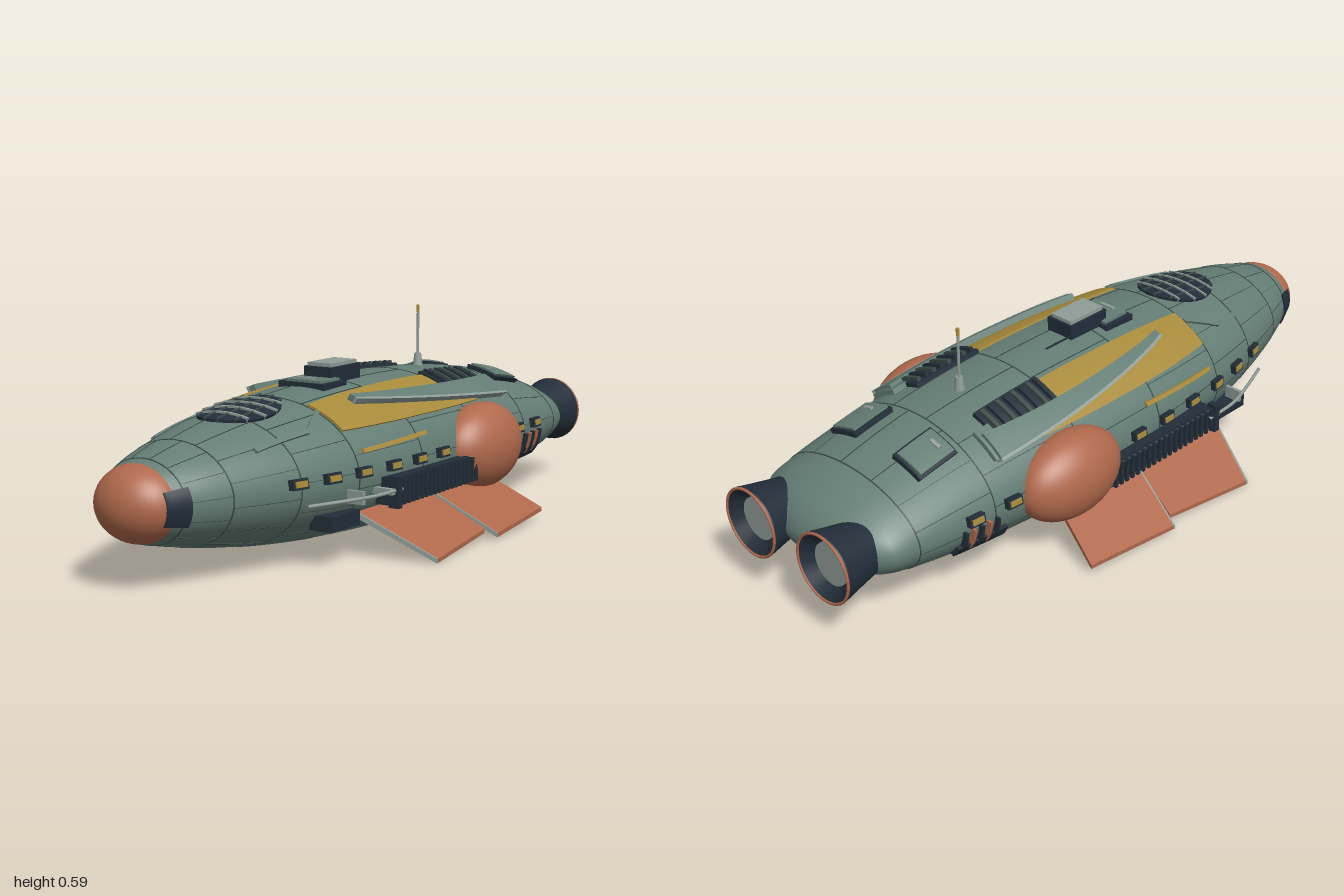
import * as THREE from 'three';
import { toCreasedNormals } from 'three/addons/utils/BufferGeometryUtils.js';

const CY = 0.215;
// Hull stations: z, half width, half height
const STATIONS = [
  [0.93, 0.108, 0.092], [0.88, 0.132, 0.107], [0.8, 0.167, 0.127], [0.6, 0.232, 0.165], [0.4, 0.277, 0.19],
  [0.2, 0.3, 0.205], [0, 0.306, 0.21], [-0.2, 0.305, 0.208], [-0.4, 0.295, 0.197], [-0.6, 0.28, 0.173],
  [-0.8, 0.258, 0.129], [-0.87, 0.237, 0.1], [-0.92, 0.16, 0.068], [-0.955, 0.05, 0.02],
];

// Smooth half width and half height of the hull at z
function section(z) {
  const S = STATIONS, n = S.length;
  let i = 0;
  while (i < n - 2 && z < S[i + 1][0]) i++;
  const h = S[i + 1][0] - S[i][0], t = THREE.MathUtils.clamp((z - S[i][0]) / h, 0, 1);
  const slope = (j, k) => {
    const p = S[Math.max(j - 1, 0)], q = S[Math.min(j + 1, n - 1)];
    return (q[k] - p[k]) / (q[0] - p[0]);
  };
  return [1, 2].map((k) => {
    const t2 = t * t, t3 = t2 * t;
    return (2 * t3 - 3 * t2 + 1) * S[i][k] + (t3 - 2 * t2 + t) * h * slope(i, k)
      + (3 * t2 - 2 * t3) * S[i + 1][k] + (t3 - t2) * h * slope(i + 1, k);
  });
}

function hullPoint(z, angle, lift = 0) {
  const [a, b] = section(z);
  return [(a + lift) * Math.cos(angle), CY + (b + lift) * Math.sin(angle), z];
}
const angleAtX = (x, z) => Math.acos(THREE.MathUtils.clamp(x / section(z)[0], -1, 1));
const angleAtY = (y, z) => Math.asin(THREE.MathUtils.clamp((y - CY) / section(z)[1], -1, 1));

// Closed solid through loops running front to back
function loft(rows, crease = 0.6) {
  const n = rows[0].length, last = (rows.length - 1) * n, index = [];
  for (let i = 0; i < rows.length - 1; i++) {
    for (let j = 0; j < n; j++) {
      const a = i * n + j, b = i * n + (j + 1) % n;
      index.push(a, a + n, b, b, a + n, b + n);
    }
  }
  for (let j = 0; j < n / 2 - 1; j++) {
    const a = j, b = j + 1, c = n - 2 - j, d = n - 1 - j;
    index.push(a, b, c, a, c, d, last + a, last + c, last + b, last + a, last + d, last + c);
  }
  const g = new THREE.BufferGeometry();
  g.setAttribute('position', new THREE.Float32BufferAttribute(rows.flat(2), 3));
  g.setIndex(index);
  return toCreasedNormals(g, crease);
}

// Plate following the hull between two angle rules
function plate(zFront, zBack, from, to, lift, nz = 12, na = 8) {
  const rows = [];
  for (let i = 0; i <= nz; i++) {
    const z = zFront + (zBack - zFront) * i / nz, t0 = from(z), t1 = to(z), row = [];
    for (let j = 0; j <= na; j++) row.push(hullPoint(z, t0 + (t1 - t0) * j / na, lift));
    for (let j = na; j >= 0; j--) row.push(hullPoint(z, t0 + (t1 - t0) * j / na, -0.006));
    rows.push(row);
  }
  return loft(rows);
}

const box = (w, h, d, x, y, z) => new THREE.BoxGeometry(w, h, d).translate(x, y, z);
const pipe = (points, r) => new THREE.TubeGeometry(
  new THREE.CatmullRomCurve3(points.map((p) => new THREE.Vector3(...p))), 20, r, 8);

function mirrored(geometry) {
  const g = geometry.index ? geometry.toNonIndexed() : geometry.clone();
  g.scale(-1, 1, 1);
  for (const { array: v, itemSize: s } of Object.values(g.attributes)) {
    for (let i = 0; i < v.length; i += 3 * s) {
      for (let k = 0; k < s; k++) [v[i + s + k], v[i + 2 * s + k]] = [v[i + 2 * s + k], v[i + s + k]];
    }
  }
  return g;
}

export function createModel() {
  const model = new THREE.Group();
  const material = (name, color) => new THREE.MeshStandardMaterial({ name, color });
  const green = material('hull green', 0x647d74);
  const seamGreen = material('seam green', 0x3b4b47);
  const copper = material('copper', 0xb0694c);
  const navy = material('dark navy', 0x232e3a);
  const gold = material('gold', 0xa78a3a);
  const grey = material('light grey', 0x8f9c98);
  const add = (name, geometry, mat) => {
    const mesh = new THREE.Mesh(geometry, mat);
    mesh.name = name;
    model.add(mesh);
  };
  const pair = (name, geometry, mat) => {
    add(name + 'Left', geometry, mat);
    add(name + 'Right', mirrored(geometry), mat);
  };

  // Main hull
  const rows = [];
  for (let i = 0; i <= 72; i++) {
    const z = 0.93 - 1.885 * i / 72;
    rows.push(Array.from({ length: 64 }, (_, j) => hullPoint(z, j * Math.PI / 32)));
  }
  add('hull', loft(rows, 0.9), green);

  // Panel seams: rings, with staggered lengthwise lines between them
  const rings = [0.88, 0.76, 0.56, 0.36, 0.08, -0.22, -0.54, -0.78];
  rings.forEach((z, i) => {
    add('ringSeam', plate(z + 0.0015, z - 0.0015, () => 0, () => Math.PI * 2, 0.0015, 1, 64), seamGreen);
    if (i === rings.length - 1) return;
    for (let k = 0; k < 14; k++) {
      const t = (k + (i % 2) / 2) * Math.PI / 7 + 0.1;
      add('panelSeam', plate(z, rings[i + 1], () => t - 0.004, () => t + 0.004, 0.0015, 12, 1), seamGreen);
    }
  });

  // Nose cap and its side sensors
  add('noseCap', new THREE.SphereGeometry(1, 40, 24).scale(0.12, 0.1, 0.1).translate(0, CY, 0.898), copper);
  pair('noseSensor', plate(0.932, 0.87, () => -0.45, () => 0.45, 0.006), navy);

  // Twin engines
  const nozzle = [[0.07, 0.84], [0.076, 0.88], [0.088, 0.94], [0.099, 0.99], [0.094, 0.998], [0.064, 0.965], [0, 0.965]];
  const lathe = new THREE.LatheGeometry(nozzle.map((p) => new THREE.Vector2(...p)), 40).rotateX(-Math.PI / 2);
  pair('engine', toCreasedNormals(lathe, 0.5).translate(0.143, CY, 0), navy);
  pair('engineRim', new THREE.TorusGeometry(0.096, 0.004, 8, 40).translate(0.143, CY, -0.996), copper);
  pair('engineDisc', new THREE.CylinderGeometry(0.06, 0.06, 0.008, 32).rotateX(Math.PI / 2).translate(0.143, CY, -0.967), grey);

  // Gold shoulder panels, lower trim and pointed armour plates
  pair('goldPanel', plate(0.355, -0.32, (z) => angleAtY(0.335, z), (z) => angleAtX(0.115, z), 0.006, 20), gold);
  pair('goldTrim', plate(0.33, 0.04, (z) => angleAtY(0.29 - 0.035 * z, z), (z) => angleAtY(0.3 - 0.035 * z, z), 0.008), gold);
  const armourLow = (z) => angleAtY(THREE.MathUtils.mapLinear(z, 0.22, -0.48, 0.385, 0.33), z);
  const armourHigh = (z) => angleAtY(THREE.MathUtils.mapLinear(z, 0.22, -0.48, 0.39, 0.368), z) + 0.02;
  pair('armourPlate', plate(0.22, -0.48, armourLow, armourHigh, 0.024, 20), green);
  pair('armourEdge', plate(0.222, -0.482, (z) => armourLow(z) - 0.03, armourLow, 0.025, 20, 2), grey);
  pair('armourHeel', plate(-0.44, -0.49, armourLow, (z) => angleAtX(0.15, z), 0.014), green);

  // Louvred vents
  pair('ventBed', plate(-0.215, -0.445, (z) => angleAtX(0.22, z), (z) => angleAtX(0.105, z), 0.012), navy);
  for (let i = 0; i < 8; i++) {
    const z = -0.225 - i * 0.028;
    pair('ventSlat', plate(z, z - 0.012, () => angleAtX(0.213, z), () => angleAtX(0.113, z), 0.022, 1, 4), i % 2 ? seamGreen : navy);
  }

  // Cockpit dome with its lattice and flanking ridges
  const halfWidth = (z) => 0.1 * Math.sqrt(Math.max(0.002, 1 - ((z - 0.497) / 0.123) ** 2));
  add('cockpitGlass', plate(0.62, 0.374, (z) => angleAtX(halfWidth(z), z), (z) => angleAtX(-halfWidth(z), z), 0.008, 28, 12), navy);
  for (const x of [-0.06, -0.02, 0.02, 0.06]) {
    const d = 0.123 * Math.sqrt(1 - (x / 0.1) ** 2);
    add('cockpitBar', plate(0.497 + d, 0.497 - d, (z) => angleAtX(x + 0.0025, z), (z) => angleAtX(x - 0.0025, z), 0.012, 12, 1), seamGreen);
  }
  for (const z of [0.42, 0.47, 0.52, 0.57]) {
    const w = halfWidth(z);
    add('cockpitCrossBar', plate(z + 0.003, z - 0.003, () => angleAtX(w, z), () => angleAtX(-w, z), 0.013, 1, 10), grey);
  }
  const ridgeX = (z) => (z > 0.46 ? 0.195 - 0.15 * (z - 0.46) : 0.195 - 0.4 * (0.46 - z));
  pair('cockpitRidge', plate(0.65, 0.36, (z) => angleAtX(ridgeX(z), z), (z) => angleAtX(ridgeX(z) - 0.012, z), 0.008, 14, 1), green);

  // Dorsal turret
  add('turretBase', box(0.15, 0.02, 0.11, 0, 0.42, 0.165), navy);
  add('turretDeck', box(0.12, 0.008, 0.09, 0, 0.433, 0.165), green);
  add('turretLatch', box(0.05, 0.006, 0.01, 0, 0.439, 0.195), grey);
  add('turretBody', box(0.09, 0.05, 0.145, 0, 0.44, 0.068), navy);
  add('turretTop', box(0.076, 0.01, 0.13, 0, 0.47, 0.068), grey);
  add('turretWhip', box(0.004, 0.004, 0.1, -0.04, 0.432, -0.05), navy);

  // Mast
  add('mastBase', new THREE.CylinderGeometry(0.01, 0.018, 0.06, 16).translate(0, 0.42, -0.39), grey);
  add('mast', new THREE.CylinderGeometry(0.004, 0.004, 0.15, 10).translate(0, 0.505, -0.39), grey);
  add('mastTip', new THREE.CylinderGeometry(0.005, 0.005, 0.022, 10).translate(0, 0.584, -0.39), gold);

  // Rear hatches
  pair('hatchFrame', plate(-0.565, -0.695, (z) => angleAtX(0.168, z), (z) => angleAtX(0.07, z), 0.014), navy);
  pair('hatchLid', plate(-0.572, -0.688, (z) => angleAtX(0.16, z), (z) => angleAtX(0.078, z), 0.02), green);
  pair('hatchHandle', plate(-0.595, -0.605, (z) => angleAtX(0.135, z), (z) => angleAtX(0.105, z), 0.025, 1, 2), grey);

  // Side windows
  for (const z of [0.577, 0.465, 0.35, 0.225, 0.105, -0.015, -0.485, -0.61]) {
    pair('windowFrame', plate(z + 0.024, z - 0.024, (v) => angleAtY(0.221, v), (v) => angleAtY(0.247, v), 0.016, 2, 2), navy);
    pair('windowPane', plate(z + 0.018, z - 0.018, (v) => angleAtY(0.227, v), (v) => angleAtY(0.241, v), 0.019, 2, 2), gold);
  }

  // Side pods
  pair('pod', new THREE.SphereGeometry(1, 40, 28).scale(0.1, 0.124, 0.176).translate(0.285, CY, -0.268), copper);

  // Ribbed radiators with front brackets and feed pipes
  pair('radiator', box(0.06, 0.075, 0.42, 0.305, 0.172, 0.06), navy);
  for (let i = 0; i < 19; i++) pair('radiatorRib', box(0.014, 0.07, 0.01, 0.341, 0.172, 0.262 - i * 0.0225), navy);
  for (const y of [0.142, 0.2]) pair('radiatorRail', box(0.006, 0.006, 0.42, 0.338, y, 0.06), seamGreen);
  pair('radiatorBracket', box(0.03, 0.085, 0.02, 0.34, 0.175, 0.275), navy);
  pair('bracketArm', box(0.07, 0.016, 0.016, 0.31, 0.178, 0.292), grey);
  pair('feedPipe', pipe([[0.345, 0.18, 0.25], [0.338, 0.18, 0.37], [0.305, 0.18, 0.48], [0.27, 0.18, 0.575]], 0.005), grey);
  pair('pipeClamp', box(0.05, 0.035, 0.01, 0.305, 0.18, 0.41), grey);
  pair('intakeBox', box(0.07, 0.04, 0.13, 0.25, 0.118, 0.425), navy);

  // Rear service bays
  pair('serviceBay', plate(-0.5, -0.66, (z) => angleAtY(0.135, z), (z) => angleAtY(0.165, z), 0.012), navy);
  for (let i = 0; i < 5; i++) {
    const z = -0.535 - i * 0.026;
    pair('serviceRod', plate(z, z - 0.008, (v) => angleAtY(0.15, v), (v) => angleAtY(0.21, v), 0.014, 1, 3), i % 2 ? copper : navy);
  }

  // Drooping side fins: root front, root back, tip front, tip back
  const fin = (rootX, rootY, edges) => loft(edges.map(([zr, xt, yt, zt]) => [
    [rootX, rootY - 0.008, zr], [xt, yt - 0.006, zt], [xt, yt + 0.006, zt], [rootX, rootY + 0.008, zr],
  ]));
  pair('frontFin', fin(0.27, 0.12, [[0.35, 0.47, 0.008, 0.275], [0.005, 0.44, 0.027, -0.025]]), copper);
  pair('frontFinEdge', fin(0.27, 0.12, [[0.356, 0.471, 0.008, 0.281], [0.35, 0.47, 0.008, 0.275]]), grey);
  pair('rearFin', fin(0.27, 0.127, [[0.003, 0.47, 0.015, -0.045], [-0.3, 0.445, 0.03, -0.35]]), copper);
  pair('rearFinEdge', fin(0.27, 0.127, [[0.008, 0.471, 0.015, -0.04], [0.003, 0.47, 0.015, -0.045]]), grey);

  return model;
}
